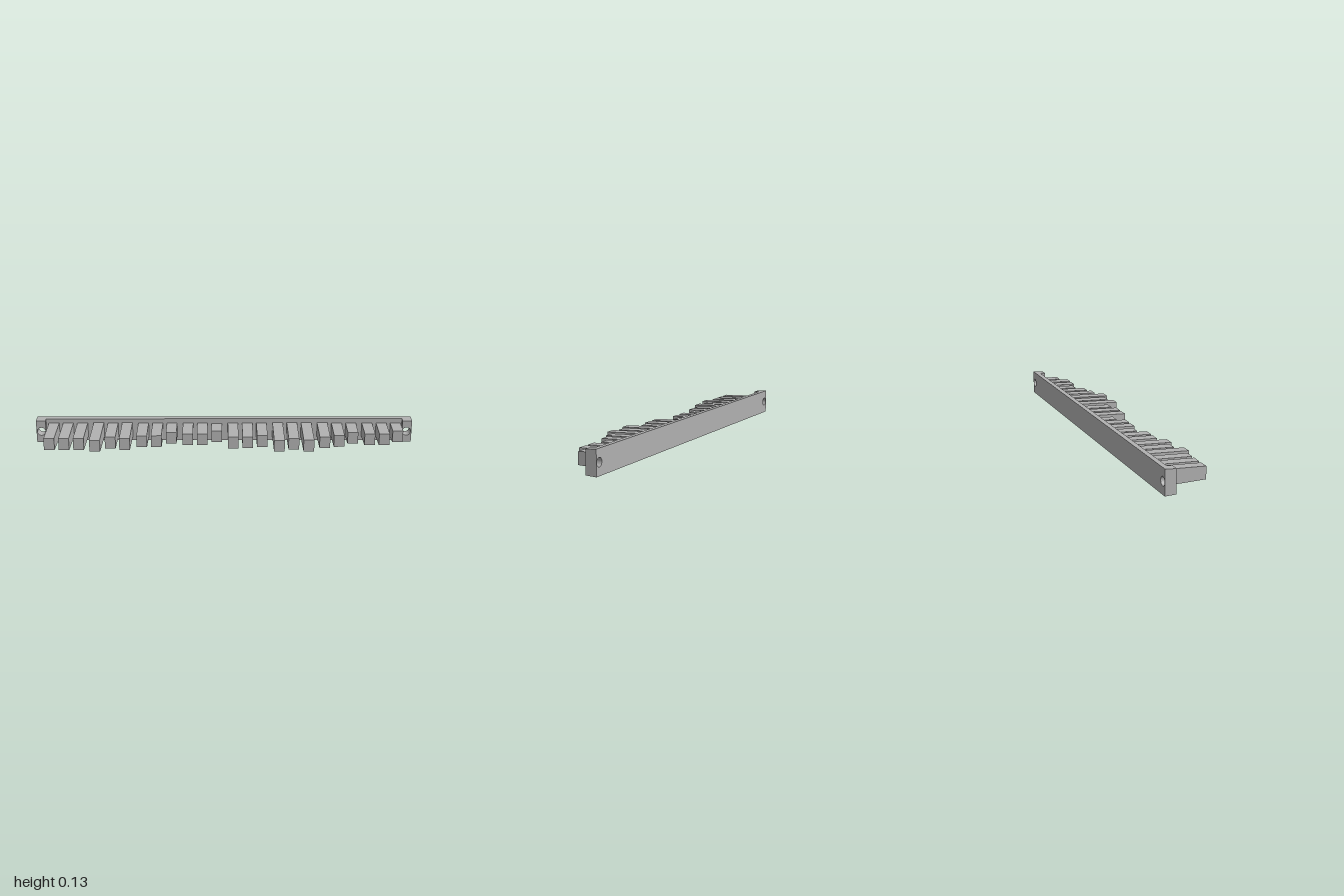
import * as THREE from 'three';

const MID = 0.0635;               // mid height of the rail and teeth
const BACK = -0.127, FACE = -0.099, LUG = -0.071;

// Rectangular slab with screw holes, extruded along z, with a slight draft on top and bottom
function slab(x0, x1, z0, z1, holes) {
  const s = new THREE.Shape();
  s.moveTo(x0, 0); s.lineTo(x1, 0); s.lineTo(x1, 2 * MID); s.lineTo(x0, 2 * MID); s.closePath();
  for (const hx of holes) {
    const h = new THREE.Path();
    h.absarc(hx, MID, 0.022, 0, Math.PI * 2, true);
    s.holes.push(h);
  }
  const g = new THREE.ExtrudeGeometry(s, { depth: z1 - z0, bevelEnabled: false, curveSegments: 20 });
  g.translate(0, 0, z0);
  const p = g.attributes.position;
  for (let i = 0; i < p.count; i++) {
    const dy = p.getY(i) - MID;
    if (Math.abs(dy) > 0.05) p.setY(i, p.getY(i) - Math.sign(dy) * 0.06 * (p.getZ(i) - BACK));
  }
  g.computeVertexNormals();
  return g;
}

// Tooth whose height grows from the tip back to the rail
function toothGeometry(tip) {
  const len = tip - FACE;
  const g = new THREE.BoxGeometry(0.055, 0.063, len);
  g.translate(0, MID, (tip + FACE) / 2);
  const p = g.attributes.position;
  for (let i = 0; i < p.count; i++) {
    p.setY(i, p.getY(i) + Math.sign(p.getY(i) - MID) * 0.037 * (tip - p.getZ(i)));
  }
  g.computeVertexNormals();
  return g;
}

export function createModel() {
  const model = new THREE.Group();
  model.name = 'toothedBar';
  const grey = new THREE.MeshStandardMaterial({ name: 'grey', color: 0xb0b0b0 });
  const add = (name, geometry, x = 0) => {
    const m = new THREE.Mesh(geometry, grey);
    m.name = name;
    m.position.x = x;
    model.add(m);
  };

  // Back rail and the two raised mounting ends
  add('rail', slab(-1, 1, BACK, FACE, [-0.974, 0.974]));
  add('rightMountingEnd', slab(-1, -0.95, FACE, LUG, [-0.974]));
  add('leftMountingEnd', slab(0.95, 1, FACE, LUG, [0.974]));

  // Tip depth (z) of each tooth, in eight groups of three
  const tips = [
    [0.104, 0.104, 0.104], [0.127, 0.084, 0.104], [0.065, 0.065, 0.022], [0.043, 0.043, 0.002],
    [0.084, 0.084, 0.065], [0.127, 0.104, 0.127], [0.084, 0.065, 0.022], [0.043, 0.043, 0.002],
  ];
  tips.forEach((group, i) => group.forEach((tip, j) =>
    add(`tooth${i * 3 + j + 1}`, toothGeometry(tip), -0.908 + i * 0.2388 + j * 0.0762)));

  return model;
}
